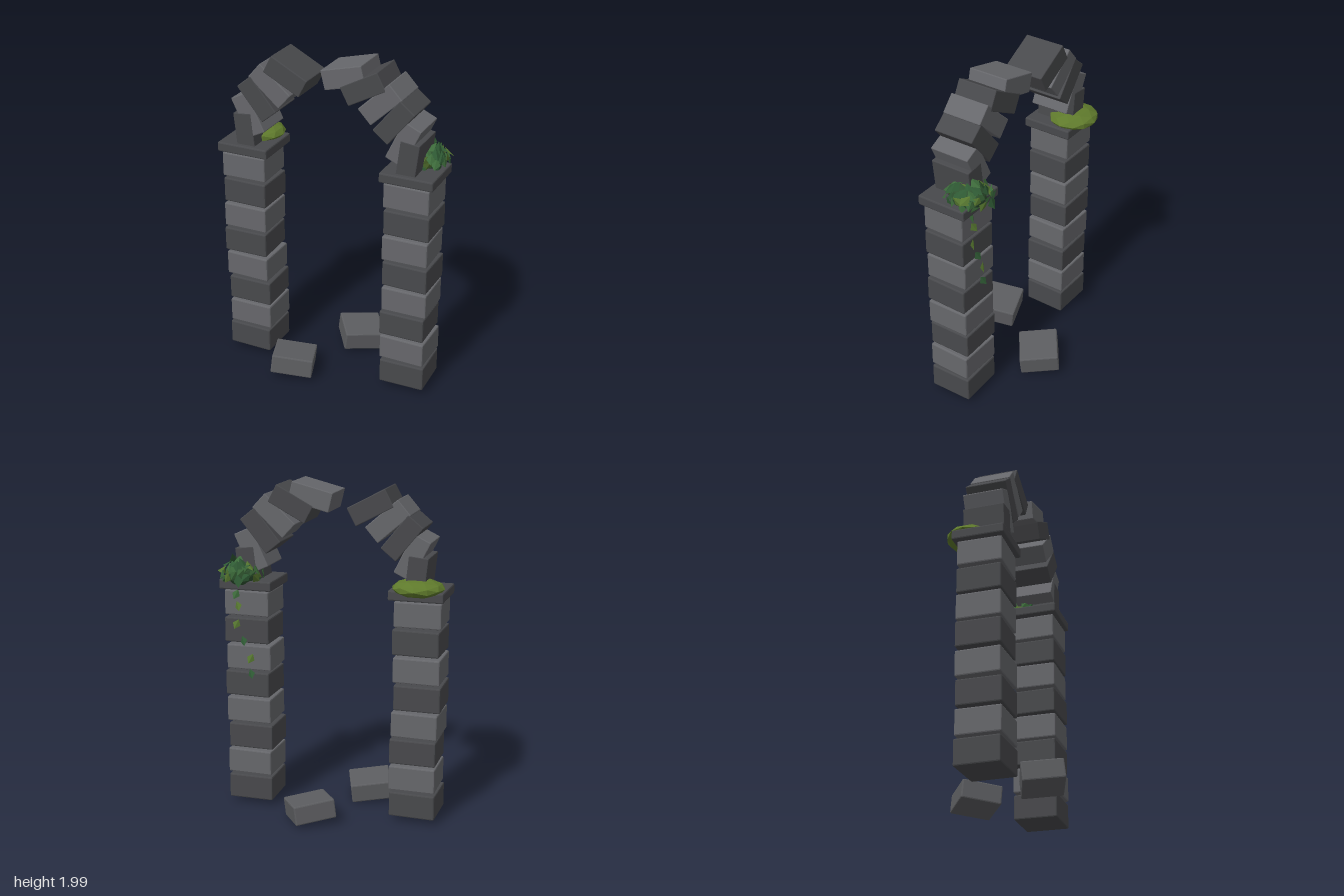
import * as THREE from 'three';
import { RoundedBoxGeometry } from 'three/addons/geometries/RoundedBoxGeometry.js';
import { mergeGeometries } from 'three/addons/utils/BufferGeometryUtils.js';

const mat = (color, side = THREE.FrontSide) => {
  const m = new THREE.MeshStandardMaterial({ flatShading: true, side });
  m.color.set(color);
  return m;
};

// Small seeded generator for the foliage
function seeded(seed) {
  return () => {
    seed = (seed * 16807) % 2147483647;
    return seed / 2147483647;
  };
}

// Folded diamond leaf lying in xy, facing +z, tip down
function leafGeometry(size) {
  const w = size * 0.42, h = size * 0.55, d = size * 0.15;
  const g = new THREE.BufferGeometry();
  g.setAttribute('position', new THREE.Float32BufferAttribute([
    0, h, 0, -w, 0, -d, 0, -h, 0,
    0, h, 0, 0, -h, 0, w, 0, -d,
  ], 3));
  g.computeVertexNormals();
  return g;
}

export function createModel() {
  const root = new THREE.Group();
  const dark = mat(0x48494c), light = mat(0x66676b), fallen = mat(0x5c5d60);
  const Z = 0.023;

  // Chamfered stone block
  function stone(parent, name, size, pos, material, bevel = 0.008) {
    const mesh = new THREE.Mesh(new RoundedBoxGeometry(...size, 1, bevel), material);
    mesh.name = name;
    mesh.position.set(...pos);
    parent.add(mesh);
    return mesh;
  }

  // Pillars: eight stacked blocks with slight offsets, then a cap slab
  const pillars = [
    { name: 'rightPillar', cap: -0.52, xs: [-0.515, -0.51, -0.51, -0.52, -0.53, -0.525, -0.52, -0.525] },
    { name: 'leftPillar', cap: 0.5, xs: [0.497, 0.497, 0.49, 0.5, 0.503, 0.495, 0.503, 0.5] },
  ];
  for (const { name, cap, xs } of pillars) {
    const pillar = new THREE.Group();
    pillar.name = name;
    xs.forEach((x, i) => {
      const b = stone(pillar, 'pillarBlock', [0.275, 0.15, 0.26], [x, 0.12 + i * 0.165, 0.027], i % 2 ? light : dark);
      b.rotation.y = 0.02 * Math.sin(i * 2.3 + cap * 4);
    });
    stone(pillar, 'pillarCap', [0.32, 0.058, 0.305], [cap, 1.388, Z], dark);
    root.add(pillar);
  }

  // Broken arch: [x, y, tilt in degrees], stones laid radially from each cap
  const arch = new THREE.Group();
  arch.name = 'brokenArch';
  const halves = [
    [[-0.515, 1.485, -84], [-0.49, 1.603, -64], [-0.43, 1.71, -51], [-0.347, 1.8, -41], [-0.246, 1.873, -28]],
    [[0.495, 1.485, 83], [0.468, 1.593, 65], [0.41, 1.71, 51], [0.327, 1.8, 43], [0.225, 1.873, 28], [0.106, 1.918, 14]],
  ];
  for (const half of halves) {
    half.forEach(([x, y, deg], i) => {
      const s = stone(arch, 'archStone', [0.25, 0.115, i % 2 ? 0.241 : 0.244], [x, y, Z], i % 2 ? light : dark, 0.005);
      s.rotation.z = THREE.MathUtils.degToRad(deg);
    });
  }
  root.add(arch);

  // Two fallen stones resting at a tilt
  const fallenStones = [
    { pos: [-0.173, 0.095, 0.232], rot: [-0.13, 0.33, -0.07] },
    { pos: [0.072, 0.095, -0.232], rot: [0.03, 0.61, -0.14] },
  ];
  for (const { pos, rot } of fallenStones) {
    stone(root, 'fallenStone', [0.25, 0.115, 0.235], pos, fallen).rotation.set(...rot, 'ZXY');
  }

  // Moss cushion on the right cap
  const moss = new THREE.Mesh(new THREE.IcosahedronGeometry(1, 1), mat(0x5f7a2c));
  moss.name = 'mossCushion';
  moss.scale.set(0.153, 0.052, 0.145);
  moss.position.set(-0.523, 1.43, -0.065);
  root.add(moss);

  // Ivy: a leafy clump on the left cap and a trail down the back of the pillar
  const ivy = new THREE.Group();
  ivy.name = 'ivy';
  const core = new THREE.Mesh(new THREE.IcosahedronGeometry(1, 1), mat(0x2f5230));
  core.name = 'ivyClump';
  core.scale.set(0.1, 0.075, 0.1);
  core.position.set(0.535, 1.45, -0.075);
  ivy.add(core);

  const rand = seeded(77);
  const batches = [[], [], []];
  const helper = new THREE.Object3D();
  function addLeaf(pos, dir, size, roll) {
    helper.position.copy(pos);
    helper.lookAt(pos.clone().add(dir));
    helper.rotateZ(roll);
    helper.updateMatrix();
    batches[Math.floor(rand() * 3)].push(leafGeometry(size).applyMatrix4(helper.matrix));
  }
  const LEAVES = 54;
  for (let i = 0; i < LEAVES; i++) {
    const h = 1 - 1.3 * (i + 0.5) / LEAVES, a = i * 2.4, r = Math.sqrt(1 - h * h);
    const dir = new THREE.Vector3(Math.cos(a) * r, h, Math.sin(a) * r);
    const spread = 0.85 + rand() * 0.3;
    const pos = new THREE.Vector3(0.115, 0.085, 0.125).multiply(dir).multiplyScalar(spread).add(core.position);
    dir.x += (rand() - 0.5) * 0.9;
    dir.y += (rand() - 0.5) * 0.9;
    addLeaf(pos, dir, 0.05 + rand() * 0.025, (rand() - 0.5) * 2);
  }
  const trail = [[0.56, 1.33], [0.55, 1.26], [0.56, 1.15], [0.52, 1.05], [0.475, 0.945], [0.475, 0.85]];
  trail.forEach(([x, y], i) => {
    const dir = new THREE.Vector3(i % 2 ? 0.3 : -0.3, 0.3, -1);
    addLeaf(new THREE.Vector3(x, y, -0.117), dir, 0.058, i % 2 ? 0.45 : -0.45);
  });
  [0x2f5a34, 0x3c6a3a, 0x55752f].forEach((color, i) => {
    if (!batches[i].length) return;
    const leaves = new THREE.Mesh(mergeGeometries(batches[i]), mat(color, THREE.DoubleSide));
    leaves.name = 'ivyLeaves';
    ivy.add(leaves);
  });
  root.add(ivy);

  return root;
}
